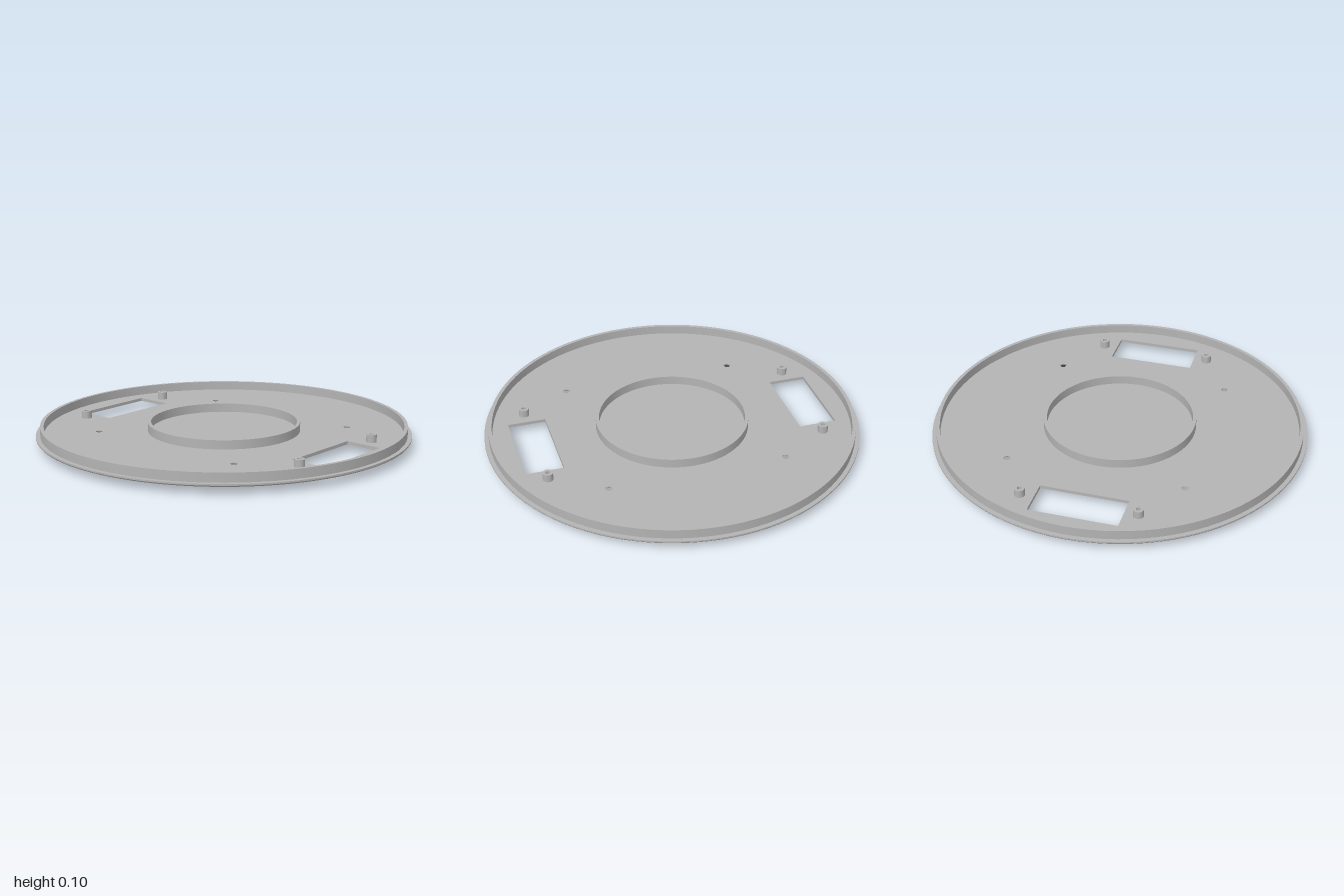
import * as THREE from 'three';
import { toCreasedNormals } from 'three/addons/utils/BufferGeometryUtils.js';

const BOTTOM = 0.04, FLOOR = 0.057, TOP = 0.105;
const SCREW = 0.471;                       // screw hole offset in x and z
const BOSS_X = 0.744, BOSS_Z = 0.305, BOSS_HOLE = 0.012;
const WIN_X = 0.746, WIN_W = 0.203, WIN_D = 0.464;
const SIGNS = [-1, 1];

export function createModel() {
  const group = new THREE.Group();
  const shell = new THREE.MeshStandardMaterial({ color: 0xb4b4b4, side: THREE.DoubleSide });
  shell.name = 'light grey plastic';
  const rubber = new THREE.MeshStandardMaterial({ color: 0x5c5c5c });
  rubber.name = 'dark grey rubber';

  function add(name, geometry, material, x = 0, y = 0, z = 0) {
    const mesh = new THREE.Mesh(geometry, material);
    mesh.name = name;
    mesh.position.set(x, y, z);
    group.add(mesh);
    return mesh;
  }
  // Turned part from [radius, height] pairs, sharp at corners
  const turned = (pairs, segments) => toCreasedNormals(
    new THREE.LatheGeometry(pairs.map(([r, y]) => new THREE.Vector2(r, y)), segments), 0.5);

  // Disc face pierced by windows, screw holes and boss holes
  function face(radius, screwRadius) {
    const shape = new THREE.Shape().absarc(0, 0, radius, 0, Math.PI * 2);
    const round = (x, y, r) => shape.holes.push(new THREE.Path().absarc(x, y, r, 0, Math.PI * 2, true));
    for (const sx of SIGNS) {
      const x = sx * WIN_X, w = WIN_W / 2, d = WIN_D / 2;
      shape.holes.push(new THREE.Path([
        [x - w, -d], [x - w, d], [x + w, d], [x + w, -d],
      ].map(([a, b]) => new THREE.Vector2(a, b))));
      for (const sz of SIGNS) {
        round(sx * SCREW, sz * SCREW, screwRadius);
        round(sx * BOSS_X, sz * BOSS_Z, BOSS_HOLE);
      }
    }
    return new THREE.ShapeGeometry(shape, 48);
  }
  add('floorTop', face(0.958, 0.018).rotateX(-Math.PI / 2), shell, 0, FLOOR);
  add('floorUnderside', face(0.99, 0.034).rotateX(Math.PI / 2), shell, 0, BOTTOM);

  // Rounded lip and raised outer rim
  add('outerRim', turned([
    [0.99, BOTTOM], [0.996, 0.0425], [1, 0.048], [1, FLOOR - 0.001], [0.977, FLOOR - 0.001],
    [0.977, TOP], [0.958, TOP], [0.958, FLOOR],
  ], 96), shell);

  // Raised ring in the middle
  add('centreRing', turned([[0.408, FLOOR], [0.408, TOP], [0.39, TOP], [0.39, FLOOR]], 96), shell);

  for (const sx of SIGNS) {
    // Side walls of the window cutouts
    const wall = new THREE.CylinderGeometry(Math.SQRT1_2, Math.SQRT1_2, FLOOR - BOTTOM, 4, 1, true)
      .rotateY(Math.PI / 4).scale(WIN_W, 1, WIN_D).toNonIndexed();
    wall.computeVertexNormals();
    add('windowWall', wall, shell, sx * WIN_X, (FLOOR + BOTTOM) / 2);

    for (const sz of SIGNS) {
      // Hollow boss with a through hole
      add('screwBoss', turned([
        [0.027, FLOOR], [0.027, 0.098], [BOSS_HOLE, 0.098], [BOSS_HOLE, BOTTOM],
      ], 24), shell, sx * BOSS_X, 0, sz * BOSS_Z);
      // Countersunk wall of the screw hole
      add('countersink', turned([[0.018, FLOOR], [0.018, 0.053], [0.034, BOTTOM]], 24),
        shell, sx * SCREW, 0, sz * SCREW);
      // Rubber foot with a rounded lower edge
      add('foot', turned([
        [0, 0], [0.054, 0], [0.06, 0.0015], [0.065, 0.006], [0.067, 0.013], [0.067, BOTTOM],
      ], 32), rubber, sx * 0.551, 0, sz * 0.551);
    }
  }
  return group;
}
